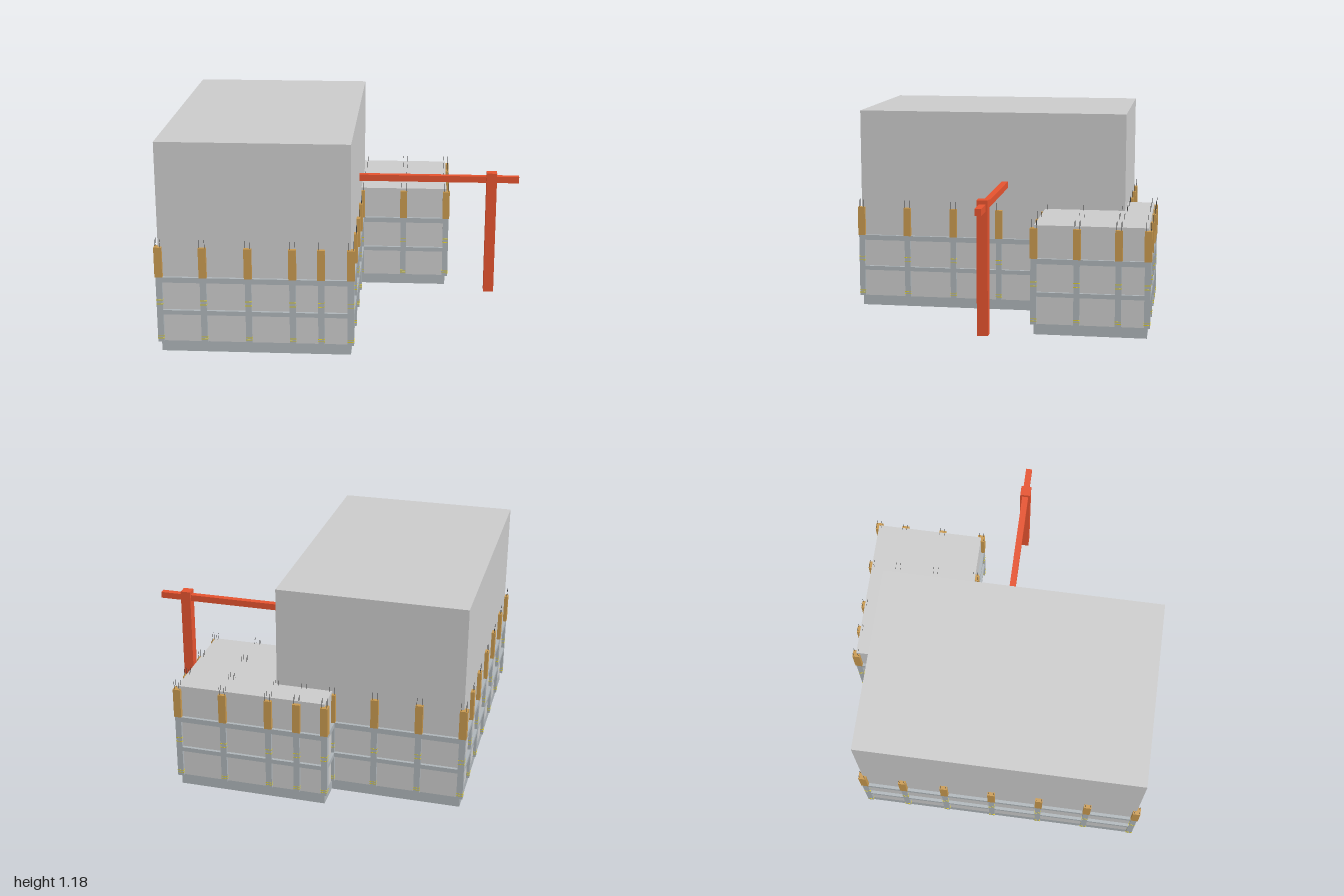
import * as THREE from 'three';

const mat = (color) => new THREE.MeshStandardMaterial({ color });
const grey = mat(0xcccccc), concrete = mat(0xaeb5b9), wood = mat(0xc8994f);
const yellow = mat(0xd8c830), steel = mat(0x444444), red = mat(0xe5532f);

// Footprint: a tall main block and a low wing overlapping behind it
const MAIN = { x0: -0.98, x1: 0.06, z0: -0.71, z1: 0.87 };
const WING = { x0: -0.255, x1: 0.58, z0: -0.87, z1: -0.24 };
const OUTLINE = [[-0.98, 0.87], [0.06, 0.87], [0.06, -0.24], [0.58, -0.24],
  [0.58, -0.87], [-0.255, -0.87], [-0.255, -0.71], [-0.98, -0.71]];

// Structural grid lines
const GRID_X = [-0.98, -0.74, -0.495, -0.255, -0.1, 0.06, 0.32, 0.58];
const GRID_Z = [0.87, 0.59, 0.31, 0.035, -0.24, -0.48, -0.71, -0.87];

const COL = 0.034, FORM = 0.042, E = 1e-4;
const GROUND = 0.06;
const FLOORS = [[0.22, 0.245], [0.405, 0.435]];

const within = (r, x, z, m) => x > r.x0 + m && x < r.x1 - m && z > r.z0 + m && z < r.z1 - m;

// Box given by its extents
function box(parent, name, material, x0, x1, y0, y1, z0, z1) {
  const mesh = new THREE.Mesh(new THREE.BoxGeometry(x1 - x0, y1 - y0, z1 - z0), material);
  mesh.position.set((x0 + x1) / 2, (y0 + y1) / 2, (z0 + z1) / 2);
  mesh.name = name;
  parent.add(mesh);
  return mesh;
}

// Square post centred on a grid point
const post = (parent, name, material, x, z, w, y0, y1) =>
  box(parent, name, material, x - w / 2, x + w / 2, y0, y1, z - w / 2, z + w / 2);

// Four thin bars standing out of a column head
function starterBars(parent, x, z) {
  for (const sx of [-1, 1]) for (const sz of [-1, 1])
    post(parent, 'starterBar', steel, x + sx * 0.014, z + sz * 0.014, 0.002, 0.59, 0.65);
}

function column(x, z) {
  const g = new THREE.Group();
  g.name = 'column';
  post(g, 'lowerShaft', concrete, x, z, COL, GROUND, FLOORS[0][0]);
  post(g, 'upperShaft', concrete, x, z, COL, FLOORS[0][1], FLOORS[1][0]);
  post(g, 'formwork', wood, x, z, FORM, FLOORS[1][1], 0.605);
  for (const y of [0.08, 0.093, 0.28, 0.303]) // marker bands
    post(g, 'band', yellow, x, z, COL + 0.002, y - 0.002, y + 0.002);
  starterBars(g, x, z);
  return g;
}

export function createModel() {
  const model = new THREE.Group();
  model.name = 'buildingSite';

  // Foundation slab following the footprint
  const shape = new THREE.Shape(OUTLINE.map(([x, z]) => new THREE.Vector2(x, -z)));
  const slabGeo = new THREE.ExtrudeGeometry(shape, { depth: GROUND, bevelEnabled: false });
  slabGeo.rotateX(-Math.PI / 2);
  const slab = new THREE.Mesh(slabGeo, concrete);
  slab.name = 'foundation';
  model.add(slab);

  // Building volumes
  box(model, 'mainBlock', grey, MAIN.x0, MAIN.x1, GROUND, 1.185, MAIN.z0, MAIN.z1);
  box(model, 'wing', grey, WING.x0, WING.x1, GROUND, 0.62, WING.z0, WING.z1);

  // Ring beams at each floor
  const beams = new THREE.Group();
  beams.name = 'floorBeams';
  for (const [y0, y1] of FLOORS) {
    OUTLINE.forEach(([xa, za], i) => {
      const [xb, zb] = OUTLINE[(i + 1) % OUTLINE.length];
      const h = COL / 2;
      box(beams, 'beam', concrete, Math.min(xa, xb) - h, Math.max(xa, xb) + h, y0, y1,
        Math.min(za, zb) - h, Math.max(za, zb) + h);
    });
  }
  model.add(beams);

  // Columns on the perimeter; bars alone where columns are buried in the wing
  const columns = new THREE.Group();
  columns.name = 'columns';
  for (const x of GRID_X) for (const z of GRID_Z) {
    const inMain = within(MAIN, x, z, E), inWing = within(WING, x, z, E);
    const touches = within(MAIN, x, z, -E) || within(WING, x, z, -E);
    if (!touches || inMain) continue;
    if (inWing) starterBars(columns, x, z);
    else columns.add(column(x, z));
  }
  model.add(columns);

  // Side gantry: post with a crossbeam fixed to the main block
  const gantry = new THREE.Group();
  gantry.name = 'gantry';
  box(gantry, 'gantryPost', red, 0.81, 0.87, GROUND, 0.8, -0.03, 0.03);
  box(gantry, 'gantryBeam', red, 0.05, 1.0, 0.74, 0.778, -0.018, 0.018);
  model.add(gantry);

  return model;
}
